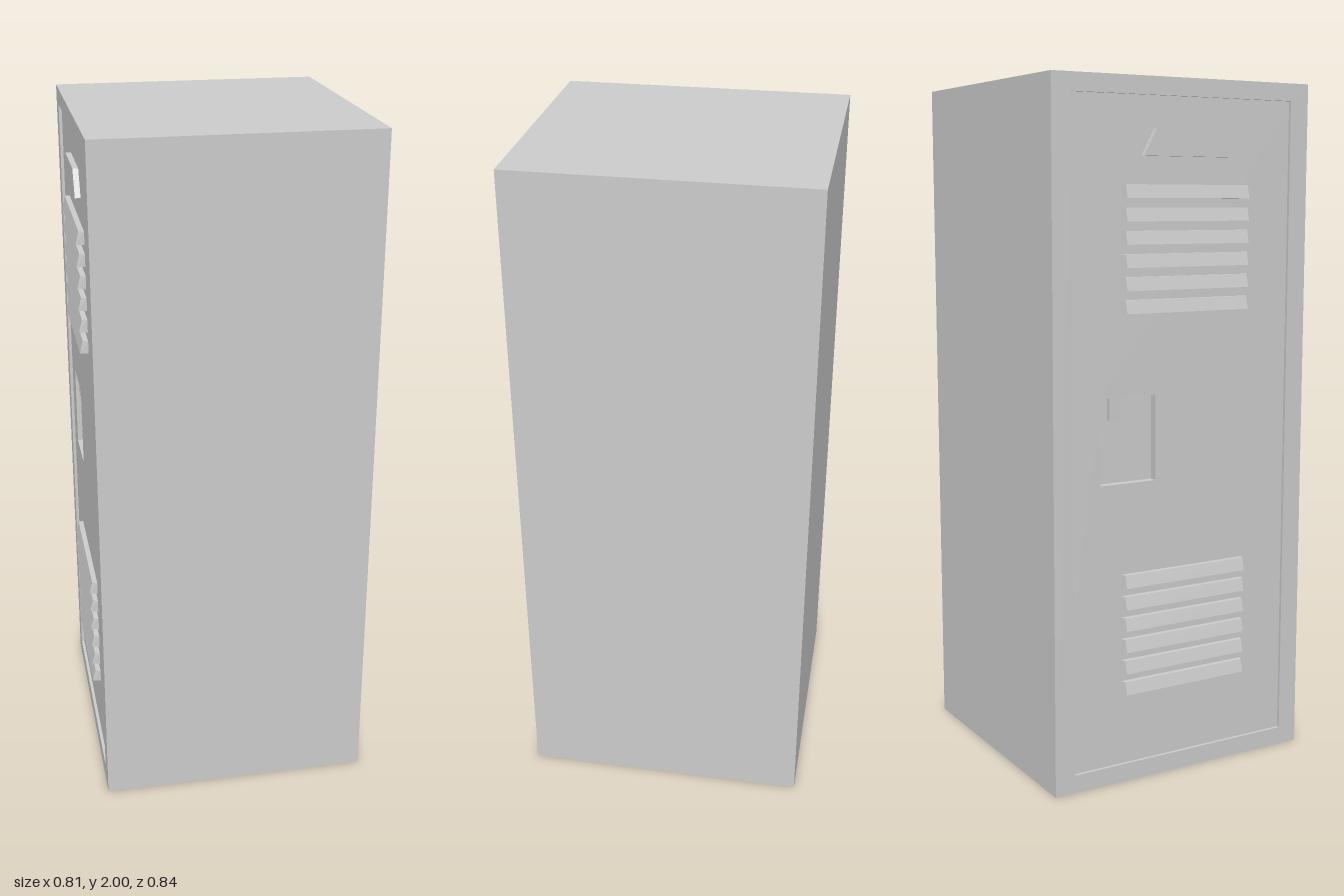
import * as THREE from 'three';

const FRONT = -0.39, DOOR = -0.381, POCKET = -0.357, BACK = 0.405;
const HALF = 0.421, HEIGHT = 2;

const material = new THREE.MeshStandardMaterial({ color: 0xcccccc, flatShading: true });

// Rectangle in the door plane: z across, y up
function rect(PathType, z0, z1, y0, y1) {
  return new PathType([[z0, y0], [z1, y0], [z1, y1], [z0, y1]].map(p => new THREE.Vector2(...p)));
}

function add(parent, name, geometry) {
  const mesh = new THREE.Mesh(geometry, material);
  mesh.name = name;
  parent.add(mesh);
  return mesh;
}

// Extrude a door-plane outline outward (towards -x) between two depths
function slab(shape, inner, outer) {
  return new THREE.ExtrudeGeometry(shape, { depth: inner - outer, bevelEnabled: false })
    .rotateY(-Math.PI / 2)
    .translate(inner, 0, 0);
}

function box(x0, x1, y0, y1, z0, z1) {
  return new THREE.BoxGeometry(x1 - x0, y1 - y0, z1 - z0)
    .translate((x0 + x1) / 2, (y0 + y1) / 2, (z0 + z1) / 2);
}

// Pressed vent fin: lower lip stands proud, top slopes back, ends taper
function louvreGeometry() {
  const geometry = box(-0.405, DOOR, 0, 0.037, -0.203, 0.213).toNonIndexed();
  const p = geometry.attributes.position;
  for (let i = 0; i < p.count; i++) {
    if (p.getX(i) > -0.4) continue;
    p.setZ(i, p.getZ(i) - Math.sign(p.getZ(i)) * 0.006);
    if (p.getY(i) > 0.02) p.setX(i, -0.396);
  }
  geometry.computeVertexNormals();
  return geometry;
}

export function createModel() {
  const locker = new THREE.Group();
  locker.name = 'locker';

  // Cabinet body behind the door
  add(locker, 'cabinet', box(POCKET, BACK, 0, HEIGHT, -HALF, HALF));

  // Door layer with the handle pocket cut through it
  const door = rect(THREE.Shape, -HALF, HALF, 0, HEIGHT);
  door.holes.push(rect(THREE.Path, -0.27, -0.09, 0.88, 1.126));
  add(locker, 'door', slab(door, POCKET, DOOR));

  // Raised rim around the door
  const rim = rect(THREE.Shape, -HALF, HALF, 0, HEIGHT);
  rim.holes.push(rect(THREE.Path, -0.36, 0.36, 0.053, 1.95));
  add(locker, 'doorFrame', slab(rim, DOOR, FRONT));

  // Latch hanging in the top of the pocket
  add(locker, 'latch', box(-0.372, POCKET, 1.06, 1.126, -0.235, -0.2));

  // Raised plate near the top of the door
  const plate = new THREE.Shape([[-0.14, 1.787], [0.15, 1.787], [0.11, 1.86], [-0.1, 1.86]]
    .map(p => new THREE.Vector2(...p)));
  add(locker, 'namePlate', slab(plate, DOOR, -0.397));

  // Upper and lower vents, six fins each
  const fin = louvreGeometry();
  for (const [name, base] of [['upperVent', 1.358], ['lowerVent', 0.265]]) {
    const vent = new THREE.Group();
    vent.name = name;
    for (let i = 0; i < 6; i++) add(vent, 'louvre', fin).position.y = base + i * 0.063;
    locker.add(vent);
  }
  return locker;
}
